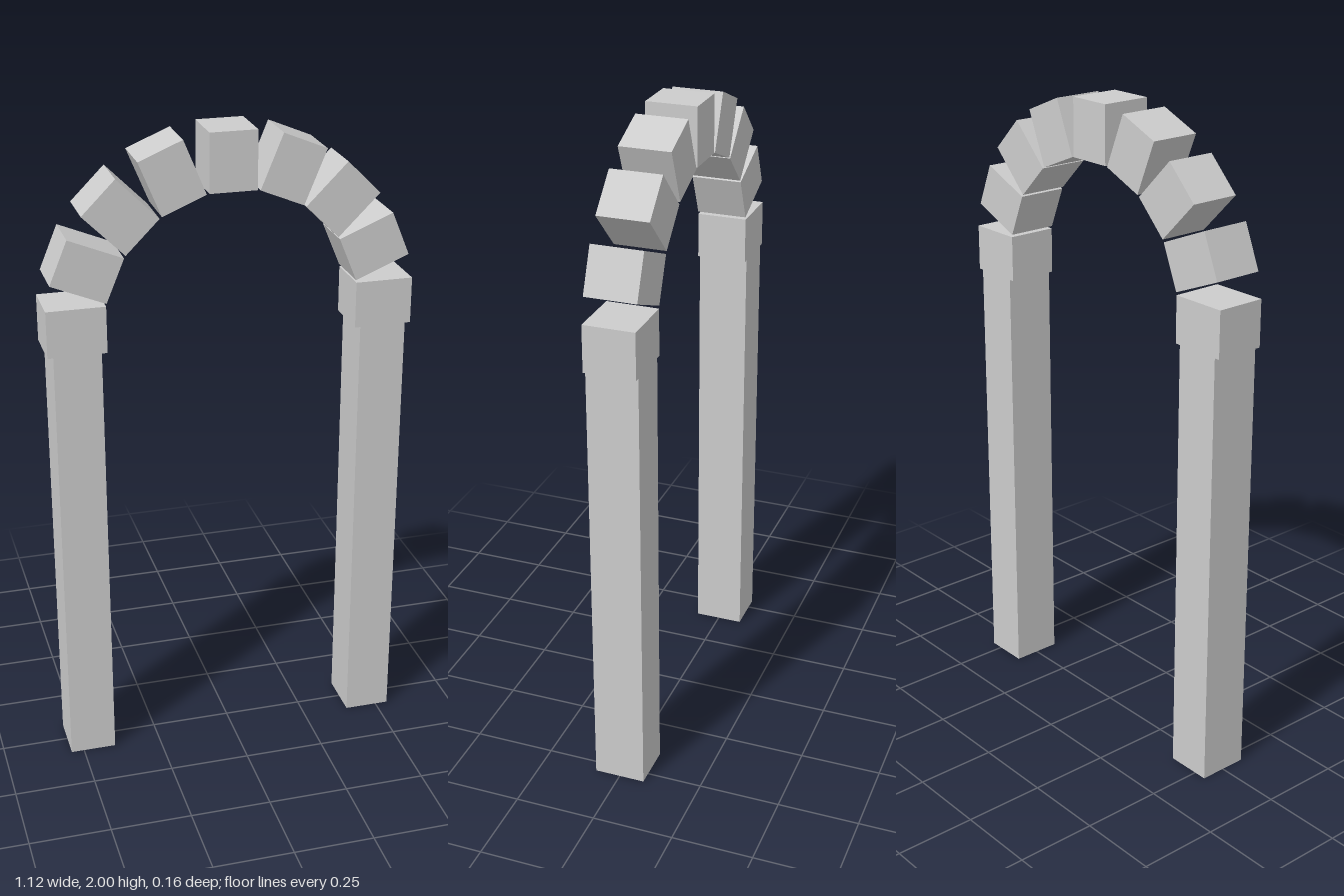
import * as THREE from 'three';

export function createModel() {
  const model = new THREE.Group();
  model.name = 'stoneArch';
  const stone = new THREE.MeshStandardMaterial({ color: 0xcccccc });
  stone.name = 'pale grey stone';

  const radius = 0.469, springY = 1.443; // arch centre line
  const radial = 0.177, width = 0.143, depth = 0.157;

  // Two straight pillars reaching up to the springing blocks
  const pillarHeight = springY - width / 2;
  const pillarGeometry = new THREE.BoxGeometry(width, pillarHeight, depth);
  for (const side of [-1, 1]) {
    const pillar = new THREE.Mesh(pillarGeometry, stone);
    pillar.name = side > 0 ? 'leftPillar' : 'rightPillar';
    pillar.position.set(side * radius, pillarHeight / 2, 0);
    model.add(pillar);
  }

  // Nine separate blocks spread evenly around a half circle
  const blockGeometry = new THREE.BoxGeometry(radial, width, depth);
  for (let i = 0; i <= 8; i++) {
    const angle = (i / 8) * Math.PI;
    const block = new THREE.Mesh(blockGeometry, stone);
    block.name = i === 4 ? 'keystone' : i % 8 === 0 ? 'springingBlock' : 'archBlock';
    block.position.set(radius * Math.cos(angle), springY + radius * Math.sin(angle), 0);
    block.rotation.z = angle;
    model.add(block);
  }
  return model;
}
